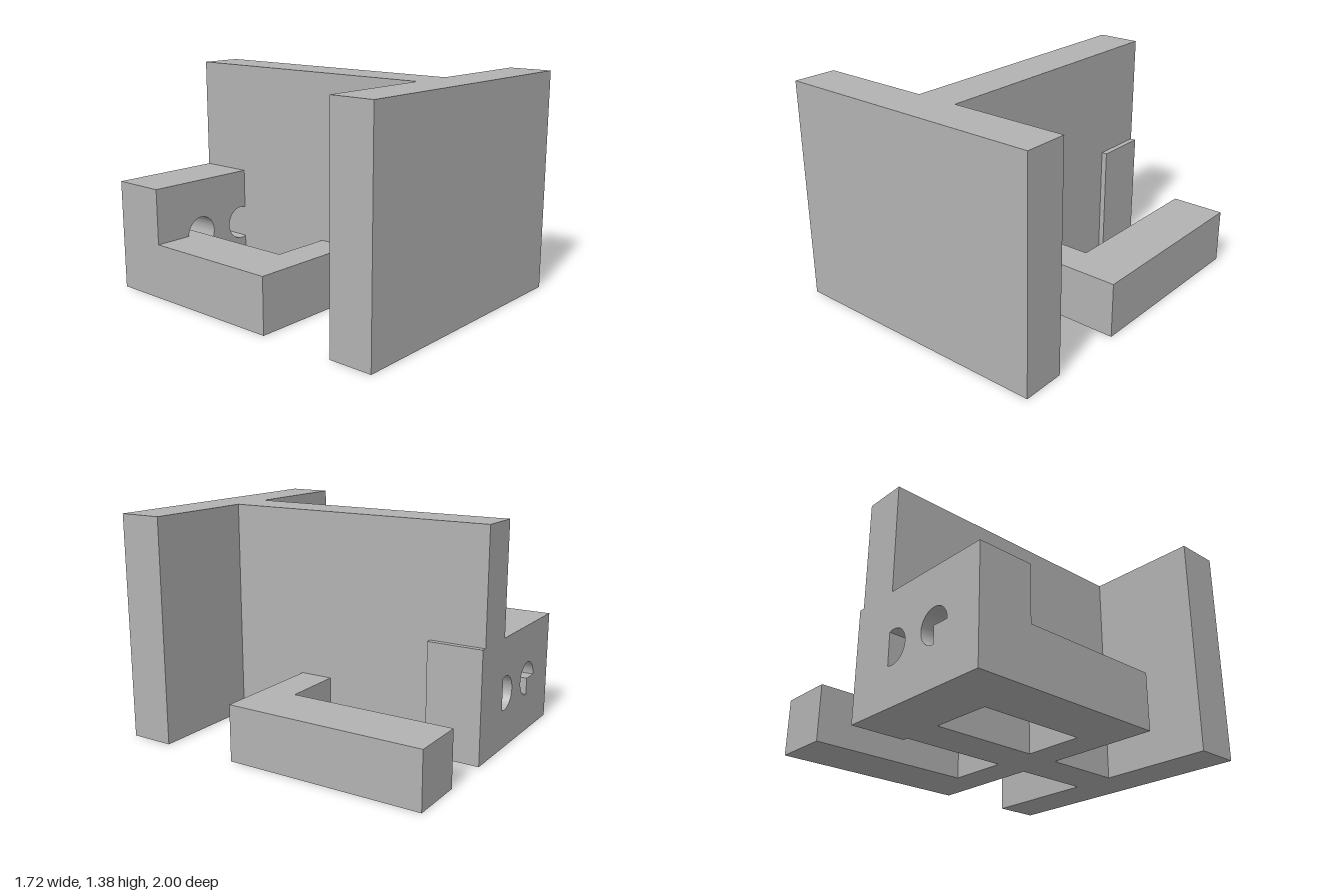
import * as THREE from 'three';
import { toCreasedNormals } from 'three/addons/utils/BufferGeometryUtils.js';

export function createModel() {
  const model = new THREE.Group();
  model.name = 'bracket';
  const grey = new THREE.MeshStandardMaterial({ color: 0xb2b2b2 });
  grey.name = 'plain grey';

  const add = (name, geometry) => {
    const mesh = new THREE.Mesh(geometry, grey);
    mesh.name = name;
    model.add(mesh);
  };
  // Box given by its limits on each axis
  const box = (name, x0, x1, y0, y1, z0, z1) => {
    const g = new THREE.BoxGeometry(x1 - x0, y1 - y0, z1 - z0);
    g.translate((x0 + x1) / 2, (y0 + y1) / 2, (z0 + z1) / 2);
    add(name, g);
  };

  const W = 0.86, H = 1.38;          // half width, full height
  const web = 0.135, arm = 0.515;    // half thickness of web, inner face of arms
  const low = 0.345, mid = 0.69;     // heights of arms and rear block
  const blockFront = -0.655;

  // T-shaped upright
  box('frontPlate', -W, W, 0, H, 0.725, 1);
  box('web', -web, web, 0, H, -1, 0.725);

  // Low U-shaped frame
  box('leftArm', arm, W, 0, low, -1, 0.24);
  box('rightArm', -W, -arm, 0, low, blockFront, 0.24);
  box('leftCrossbar', web, arm, 0, low, 0.03, 0.24);
  box('rightCrossbar', -arm, -web, 0, low, 0.03, 0.24);

  // Rear block: one bore cut off by the web, one with a filled quadrant
  const r = 0.105, cx = -0.172;
  const a = Math.acos((-web - cx) / r);
  const outline = new THREE.Shape();
  outline.moveTo(-W, 0);
  outline.lineTo(-web, 0);
  outline.absarc(cx, low, r, -a, a, true);
  outline.lineTo(-web, mid);
  outline.lineTo(-W, mid);
  outline.closePath();
  const bore = new THREE.Path();
  bore.moveTo(-arm, low);
  bore.lineTo(-arm, low - r);
  bore.absarc(-arm, low, r, -Math.PI / 2, Math.PI, false);
  bore.closePath();
  outline.holes.push(bore);
  const block = new THREE.ExtrudeGeometry(outline, {
    depth: blockFront + 1, bevelEnabled: false, curveSegments: 32,
  });
  block.translate(0, 0, -1);
  add('rearBlock', toCreasedNormals(block, 0.5));

  // Narrow end of the rear block on the far side of the web
  box('rearBlockEnd', web, 0.17, 0, mid, -1, blockFront);

  return model;
}
